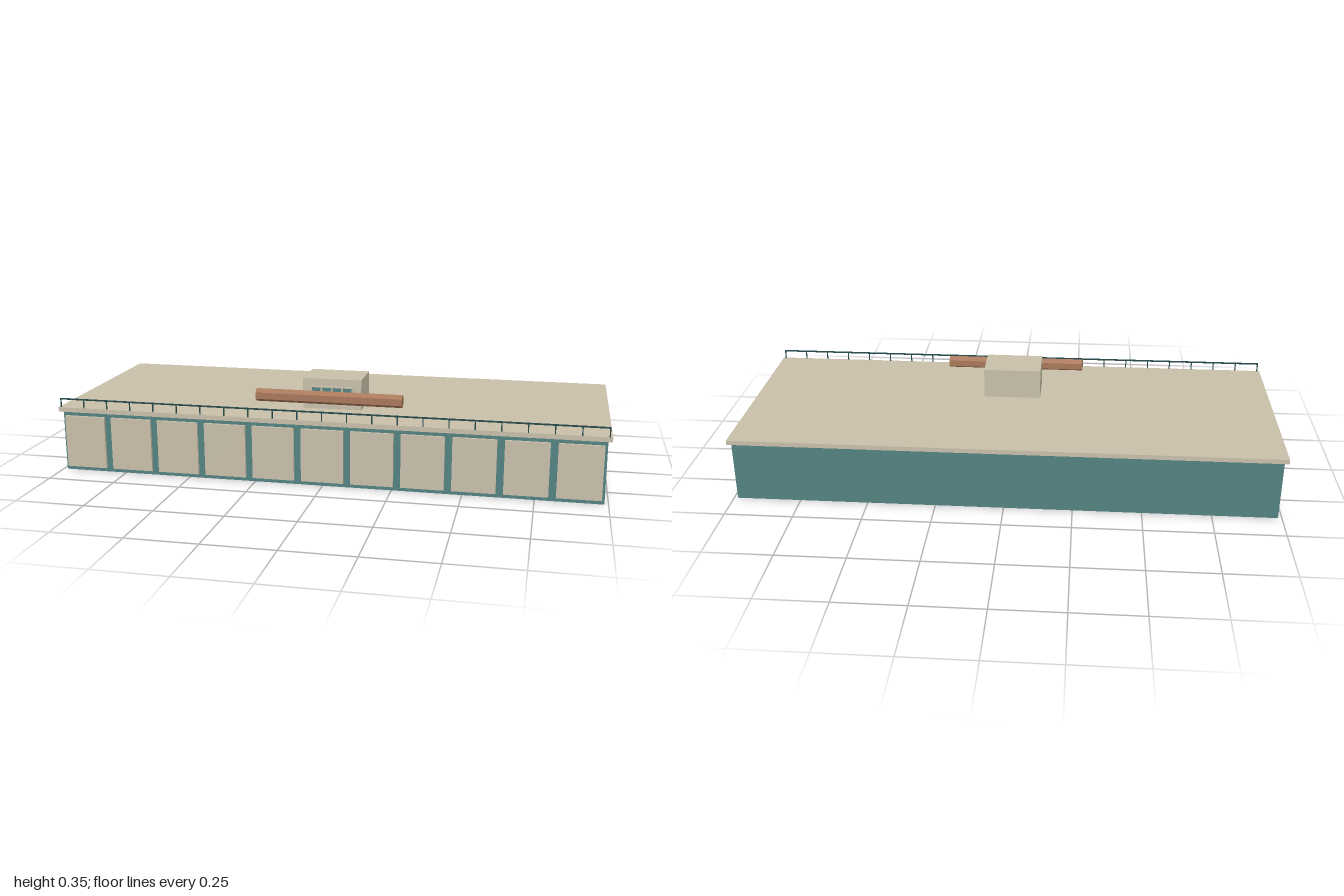
import * as THREE from 'three';

const material = (name, color) => {
  const m = new THREE.MeshStandardMaterial({ color });
  m.name = name;
  return m;
};

export function createModel() {
  const teal = material('teal wall', 0x538281);
  const sand = material('sand', 0xc8bfa9);
  const dark = material('dark railing', 0x24484a);
  const copper = material('copper', 0xa8775a);

  const model = new THREE.Group();
  model.name = 'longBuilding';

  // Box given by its low and high limits on each axis
  const box = (parent, name, mat, [x0, x1], [y0, y1], [z0, z1]) => {
    const mesh = new THREE.Mesh(new THREE.BoxGeometry(x1 - x0, y1 - y0, z1 - z0), mat);
    mesh.position.set((x0 + x1) / 2, (y0 + y1) / 2, (z0 + z1) / 2);
    mesh.name = name;
    parent.add(mesh);
    return mesh;
  };
  const group = (name) => {
    const g = new THREE.Group();
    g.name = name;
    model.add(g);
    return g;
  };

  // Main block and overhanging roof slab
  box(model, 'mainBlock', teal, [-0.986, 0.986], [0, 0.225], [-0.381, 0.381]);
  box(model, 'roofSlab', sand, [-1, 1], [0.225, 0.242], [-0.392, 0.392]);

  // Row of eleven front doors
  const doors = group('frontDoors');
  for (let i = -5; i <= 5; i++) {
    const x = i * 0.18;
    box(doors, 'door', sand, [x - 0.077, x + 0.077], [0.015, 0.21], [0.381, 0.391]);
  }

  // Railing along the front edge of the roof
  const railing = group('railing');
  box(railing, 'topRail', dark, [-0.992, 0.992], [0.272, 0.277], [0.387, 0.392]);
  for (let i = -11; i <= 11; i++) {
    const x = i * 0.09;
    box(railing, 'post', dark, [x - 0.002, x + 0.002], [0.242, 0.273], [0.388, 0.391]);
  }

  // Roof cabin with a framed strip of windows
  const cabin = group('roofCabin');
  box(cabin, 'cabinBody', sand, [-0.109, 0.109], [0.242, 0.355], [0.058, 0.214]);
  box(cabin, 'windowGlass', teal, [-0.08, 0.08], [0.278, 0.326], [0.213, 0.218]);
  for (const y of [0.278, 0.323]) {
    box(cabin, 'windowFrame', sand, [-0.08, 0.08], [y, y + 0.004], [0.214, 0.221]);
  }
  for (let i = -2; i <= 2; i++) {
    const x = i * 0.0385;
    box(cabin, 'windowBar', sand, [x - 0.003, x + 0.003], [0.281, 0.324], [0.214, 0.221]);
  }

  // Six-sided beam in front of the cabin
  const beamShape = new THREE.CylinderGeometry(0.024, 0.024, 0.54, 6).toNonIndexed();
  beamShape.rotateY(Math.PI / 6).rotateZ(Math.PI / 2);
  beamShape.computeVertexNormals();
  const beam = new THREE.Mesh(beamShape, copper);
  beam.position.set(0, 0.298, 0.27);
  beam.name = 'hexagonalBeam';
  model.add(beam);

  return model;
}
